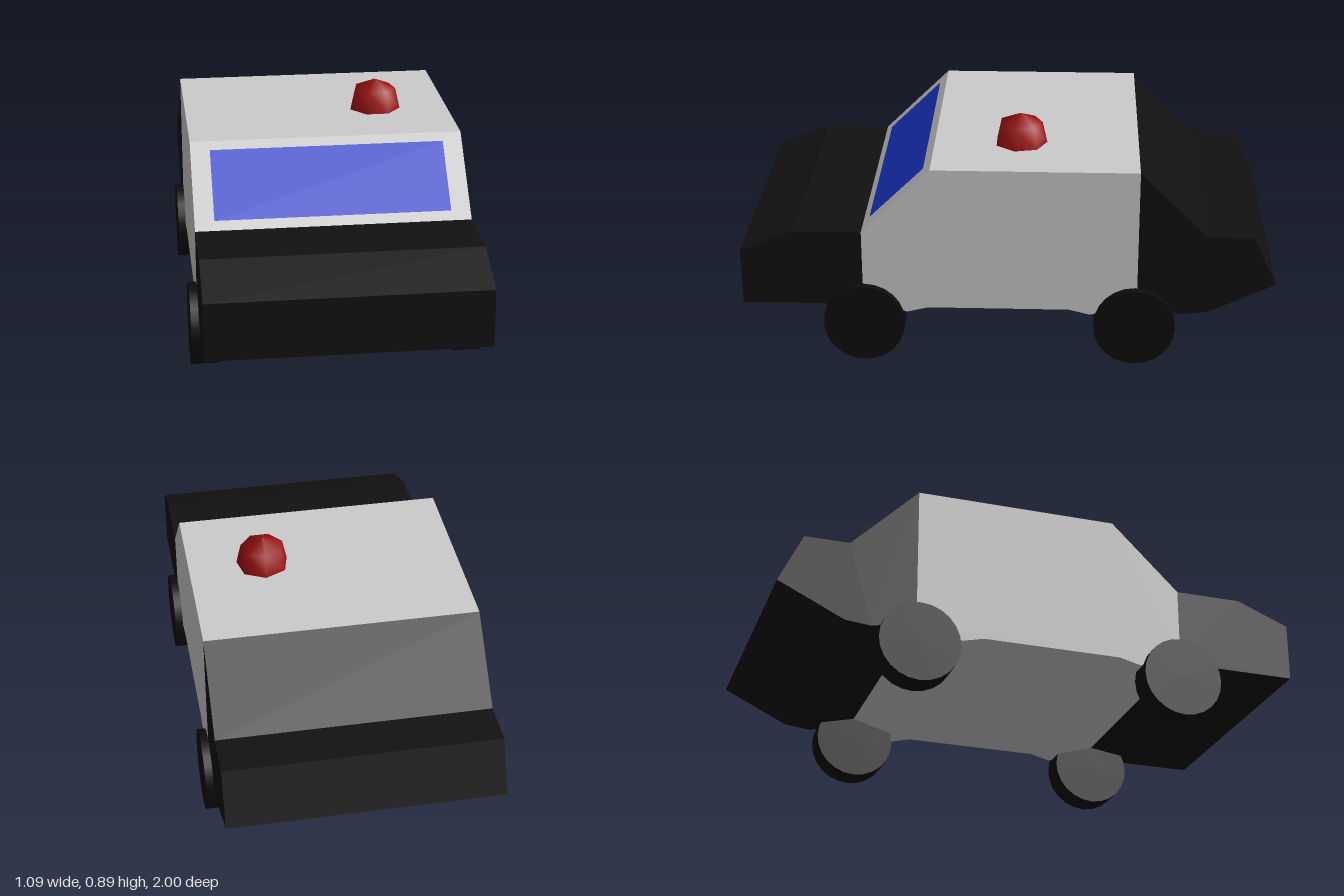
import * as THREE from 'three';

const HALF_WIDTH = 0.513;
const mat = (color) => new THREE.MeshStandardMaterial({ color });

// Extrude a side profile of [z, y] points across the width of the car
function section(name, points, material) {
  const shape = new THREE.Shape(points.map(([z, y]) => new THREE.Vector2(z, y)));
  const geometry = new THREE.ExtrudeGeometry(shape, { depth: HALF_WIDTH * 2, bevelEnabled: false });
  geometry.translate(0, 0, -HALF_WIDTH).rotateY(-Math.PI / 2);
  const mesh = new THREE.Mesh(geometry, material);
  mesh.name = name;
  return mesh;
}

export function createModel() {
  const car = new THREE.Group();
  car.name = 'car';
  const black = mat(0x111111);

  // Cabin with sloped windscreen frame and stepped floor
  car.add(section('cabin', [
    [0.545, 0.24], [0.545, 0.52], [0.285, 0.775], [-0.485, 0.775], [-0.485, 0.24],
    [-0.31, 0.19], [-0.23, 0.21], [0.3, 0.21], [0.38, 0.19],
  ], mat(0xcccccc)));

  // Hood and front end
  car.add(section('hood', [
    [0.545, 0.24], [0.68, 0.22], [1, 0.22], [1, 0.44], [0.8, 0.52], [0.545, 0.52],
  ], black));

  // Sloped back and trunk
  car.add(section('trunk', [
    [-0.485, 0.775], [-0.74, 0.52], [-0.91, 0.52], [-1, 0.33],
    [-0.75, 0.21], [-0.65, 0.2], [-0.485, 0.24],
  ], black));

  // Windscreen glass, lying just above the sloped frame
  const slope = Math.atan2(0.26, 0.255);
  const glass = new THREE.Mesh(new THREE.PlaneGeometry(0.88, 0.287), mat(0x1a35cc));
  glass.name = 'windscreen';
  glass.rotation.x = -slope;
  glass.position.set(0, 0.6475, 0.415).add(
    new THREE.Vector3(0, Math.sin(slope), Math.cos(slope)).multiplyScalar(0.003));
  car.add(glass);

  // Four plain wheels
  const wheelGeometry = new THREE.CylinderGeometry(0.153, 0.153, 0.103, 24).rotateZ(Math.PI / 2);
  const wheelMaterial = mat(0x0c0c0c);
  for (const [end, z] of [['front', 0.541], ['rear', -0.477]]) {
    for (const [side, sign] of [['Left', 1], ['Right', -1]]) {
      const wheel = new THREE.Mesh(wheelGeometry, wheelMaterial);
      wheel.name = `${end}${side}Wheel`;
      wheel.position.set(sign * 0.4915, 0.153, z);
      car.add(wheel);
    }
  }

  // Seven-sided domed roof light
  const dome = [[0.1, 0], [0.082, 0.08], [0, 0.116]].map(([r, y]) => new THREE.Vector2(r, y));
  const light = new THREE.Mesh(new THREE.LatheGeometry(dome, 7), mat(0x991111));
  light.name = 'roofLight';
  light.position.set(0.23, 0.775, -0.04);
  light.rotation.y = Math.PI;
  car.add(light);

  return car;
}
